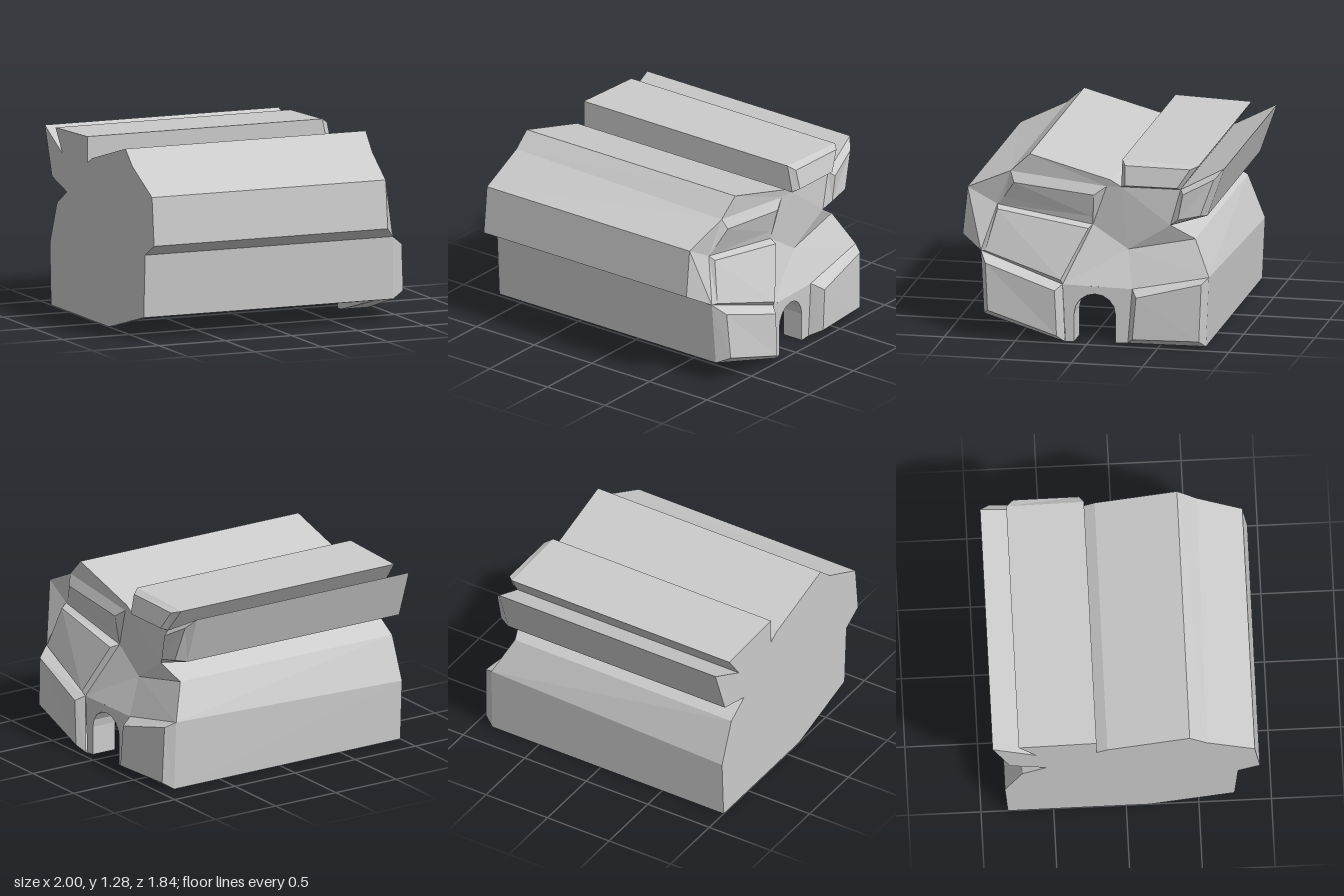
import * as THREE from 'three';

// Points are written [z, y, x]: position in the end profile, then reach along x
const A = [0.16, 0, 0.95], B = [0.745, 0.155, 0.88], C = [0.77, 0.595, 0.865], D = [0.92, 0.68, 0.76];
const E = [0.885, 1.015, 0.76], F = [0.575, 1.155, 0.8], G = [0.437, 1.285, 0.81], H = [-0.13, 1.13, 0.81];
const I = [-0.205, 1.085, 0.81], J = [-0.205, 1.27, 0.77], K = [-0.74, 1.25, 0.77], L = [-0.62, 1.085, 0.8];
const M = [-0.92, 1.24, 0.76], N = [-0.8, 0.9, 0.76], O = [-0.55, 0.83, 0.81], P = [-0.715, 0.73, 0.76];
const Q = [-0.835, 0.49, 0.875], R = [-0.815, 0, 0.88];
// Points inside the rocky end
const S = [0.18, 0.405, 0.941], T = [0, 0.8, 0.78], U = [0.675, 0.905, 0.765], V = [-0.1, 1.08, 0.8];
const W = [-0.25, 0.64, 0.79], X = [-0.3, 0.385, 0.898], Y = [-0.27, 0, 0.9];
const PROFILE = [A, B, C, D, E, F, G, H, I, J, K, L, M, N, O, P, Q, R];

const LEFT = -1, IN0 = -0.96, IN1 = 0.75;
const at = (p, x) => [p[0], p[1], x];
// Far end profile: two ridges drift a little along the length
const FAR = PROFILE.map(p => (p === Q ? [-0.835, 0.43] : p === F ? [0.555, 1.18] : p)).map(p => at(p, LEFT));

export function createModel() {
  const model = new THREE.Group();
  const material = new THREE.MeshStandardMaterial({ color: 0xcccccc, flatShading: true, side: THREE.DoubleSide });

  const add = (name, geometry) => {
    const mesh = new THREE.Mesh(geometry, material);
    mesh.name = name;
    model.add(mesh);
  };

  // Flat polygons, each cut into a fan from its first corner
  const polys = (name, list) => {
    const v = [];
    for (const p of list)
      for (let i = 1; i < p.length - 1; i++)
        for (const [z, y, x] of [p[0], p[i], p[i + 1]]) v.push(x, y, z);
    const g = new THREE.BufferGeometry();
    g.setAttribute('position', new THREE.Float32BufferAttribute(v, 3));
    g.computeVertexNormals();
    add(name, g);
  };

  // Concave outline standing across x; side is +1 or -1 for the way it faces
  const sheet = (name, outline, side, xAt) => {
    const shape = new THREE.Shape(outline.map(([z, y]) => new THREE.Vector2(-side * z, y)));
    const g = new THREE.ShapeGeometry(shape);
    const pos = g.attributes.position;
    for (let i = 0; i < pos.count; i++) {
      const z = -side * pos.getX(i);
      pos.setXYZ(i, xAt(z), pos.getY(i), z);
    }
    g.computeVertexNormals();
    add(name, g);
  };

  // Raised stone: a front face with bevels down to its outer edge
  const stone = (name, outer, inner) => {
    const list = [inner];
    outer.forEach((o, i) => {
      const n = (i + 1) % outer.length;
      list.push([o, outer[n], inner[n], inner[i]]);
    });
    polys(name, list);
  };

  // Long rock body and its flat far end, open along the underside
  polys('rockBody', PROFILE.slice(1, -1).map((p, i) => [FAR[i + 1], p, PROFILE[i + 2], FAR[i + 2]]));
  sheet('flatEnd', FAR, -1, () => LEFT);

  // Stones on the rocky end
  stone('lowerFrontStone', [C, B, A, S],
    [[0.72, 0.53, 0.955], [0.7, 0.2, 0.975], [0.21, 0.05, 1], [0.225, 0.37, 1]]);
  stone('middleFrontStone', [U, C, S, T],
    [[0.665, 0.88, 0.81], [0.735, 0.6, 0.885], [0.19, 0.44, 0.965], [0.02, 0.785, 0.845]]);
  stone('upperFrontStone', [F, U, T, V],
    [[0.545, 1.08, 0.83], [0.625, 0.96, 0.785], [0.015, 0.86, 0.79], [-0.015, 1.02, 0.83]]);
  stone('lowerBackStone', [X, Y, R, Q],
    [[-0.345, 0.345, 0.985], [-0.32, 0.05, 0.99], [-0.78, 0.05, 0.955], [-0.795, 0.455, 0.945]]);
  stone('topStone', [J, I, L, K],
    [[-0.235, 1.24, 0.82], [-0.24, 1.105, 0.85], [-0.605, 1.105, 0.85], [-0.69, 1.235, 0.82]]);
  stone('upperBackStone', [M, L, O, N],
    [[-0.855, 1.17, 0.815], [-0.645, 1.06, 0.845], [-0.61, 0.88, 0.845], [-0.765, 0.915, 0.84]]);

  // Rock surface between the stones, hollowed in the middle
  polys('rockFace', [
    [E, D, C, U], [E, U, F], [G, F, V, H], [V, I, H],
    [I, V, T, W, O, L], [S, X, W, T], [W, P, O], [W, X, Q, P],
  ]);

  // Archway: front wall with opening, and the passage inside
  const arch = [[0.1, 0]];
  for (let i = 0; i <= 8; i++) {
    const a = Math.PI * i / 8;
    arch.push([-0.0425 + 0.1425 * Math.cos(a), 0.2 + 0.1425 * Math.sin(a)]);
  }
  arch.push([-0.185, 0]);
  const frontX = z => 0.925 + 0.09 * z;
  sheet('archWall', [S, A, ...arch, Y, X], 1, frontX);
  polys('archPassage', arch.slice(0, -1).map((p, i) => {
    const q = arch[i + 1];
    return [at(p, IN1), at(q, IN1), at(q, frontX(q[0])), at(p, frontX(p[0]))];
  }));

  // Hollow inside, open underneath
  const hollow = [[0.72, 0.15], [0.72, 0.98], [-0.55, 0.78], [-0.55, 0]];
  polys('hollowWalls', hollow.slice(0, -1).map((p, i) => {
    const q = hollow[i + 1];
    return [at(p, IN0), at(q, IN0), at(q, IN1), at(p, IN1)];
  }));
  sheet('hollowFarWall', [...hollow, A], 1, () => IN0);
  sheet('hollowNearWall', [...hollow, ...[...arch].reverse(), A], -1, () => IN1);

  // Underside rim: strips of [z start, z end, x start, x end at each z]
  const low = z => (z > 0.16 ? (z - 0.16) / 0.585 * 0.155 : 0);
  polys('undersideRim', [
    [-0.815, -0.55, LEFT, 0.88, 0.89], [-0.55, 0.16, LEFT, IN0, IN0], [0.16, 0.72, LEFT, IN0, IN0],
    [-0.55, -0.27, IN1, 0.89, 0.9], [-0.27, -0.185, IN1, 0.9, 0.908],
    [0.1, 0.16, IN1, 0.934, 0.95], [0.16, 0.72, IN1, 0.95, 0.883], [0.72, 0.745, LEFT, 0.883, 0.88],
  ].map(([z0, z1, x0, xa, xb]) => [
    [z0, low(z0), x0], [z0, low(z0), xa], [z1, low(z1), xb], [z1, low(z1), x0],
  ]));

  return model;
}
